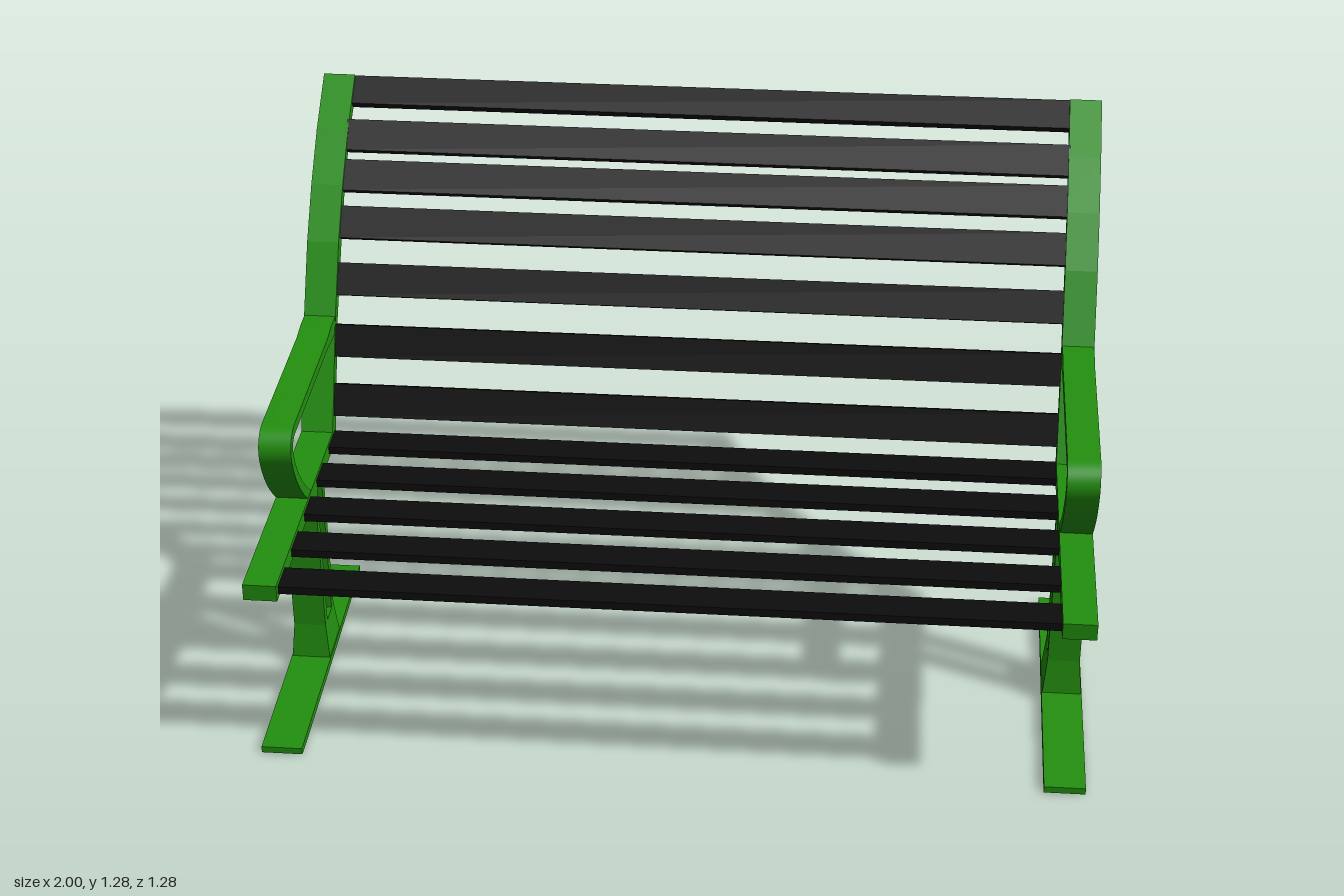
import * as THREE from 'three';
import { toCreasedNormals } from 'three/addons/utils/BufferGeometryUtils.js';

const green = new THREE.MeshStandardMaterial({ color: 0x23900f });
const black = new THREE.MeshStandardMaterial({ color: 0x0d0d0d });
const SIDE_X = 0.95;

const toShape = (pts) => new THREE.Shape(pts.map(([z, y]) => new THREE.Vector2(z, y)));

// Extrude a (z, y) side profile along x, centred on x = 0
function extrudeSide(shape, width) {
  const geo = new THREE.ExtrudeGeometry(shape, { depth: width, bevelEnabled: false });
  return geo.translate(0, 0, -width / 2).rotateY(-Math.PI / 2);
}

// Closed outline of a bar that follows a line of points, with a half thickness at each
function barOutline(points, half) {
  const left = [], right = [];
  points.forEach((p, i) => {
    const a = points[Math.max(i - 1, 0)], b = points[Math.min(i + 1, points.length - 1)];
    const d = b.clone().sub(a).normalize(), h = half(p);
    left.push([p.x - d.y * h, p.y + d.x * h]);
    right.unshift([p.x + d.y * h, p.y - d.x * h]);
  });
  return toShape([...left, ...right]);
}

// Seat rail and curved back in one piece
function frameGeometry() {
  return extrudeSide(toShape([
    [0.64, 0.505], [0.64, 0.547], [-0.067, 0.543],
    [-0.187, 0.80], [-0.287, 0.97], [-0.38, 1.084], [-0.486, 1.187], [-0.617, 1.283],
    [-0.64, 1.253], [-0.503, 1.167], [-0.40, 1.06], [-0.315, 0.943], [-0.21, 0.78],
    [-0.095, 0.503],
  ]), 0.08);
}

// Looped armrest, thicker where it meets the back
function armGeometry() {
  const path = new THREE.Path();
  path.moveTo(-0.205, 0.789);
  path.lineTo(-0.14, 0.789);
  path.lineTo(-0.09, 0.789);
  path.lineTo(0.33, 0.789);
  path.bezierCurveTo(0.365, 0.789, 0.385, 0.76, 0.37, 0.725);
  path.bezierCurveTo(0.352, 0.665, 0.29, 0.59, 0.22, 0.535);
  const shape = barOutline(path.getPoints(10), (p) => (p.x < -0.12 ? 0.02 : 0.0125));
  return toCreasedNormals(extrudeSide(shape, 0.078), 0.5);
}

// Twin-post leg with a solid base that widens towards the foot
function legGeometry() {
  const shape = toShape([
    [0.177, 0.51], [0.07, 0.51], [0.064, 0.115], [0.05, 0.015], [0.182, 0.015], [0.17, 0.115],
  ]);
  shape.holes.push(new THREE.Path([[0.15, 0.505], [0.096, 0.505], [0.088, 0.115], [0.143, 0.115]]
    .map(([z, y]) => new THREE.Vector2(z, y))));
  const geo = extrudeSide(shape, 0.08);
  const pos = geo.attributes.position;
  for (let i = 0; i < pos.count; i++) {
    if (pos.getY(i) < 0.05) pos.setX(i, pos.getX(i) * 1.22);
  }
  geo.computeVertexNormals();
  return geo;
}

// Thin, slightly tilted foot plate
function footGeometry() {
  return extrudeSide(toShape([[0.56, 0.002], [0.56, 0.019], [-0.235, 0.03], [-0.235, 0.014], [0.1, 0.006], [0.5, 0]]), 0.1);
}

export function createModel() {
  const bench = new THREE.Group();
  bench.name = 'bench';

  // Matching left and right ends
  const parts = { frame: frameGeometry(), armrest: armGeometry(), leg: legGeometry(), foot: footGeometry() };
  for (const [side, sign] of [['left', 1], ['right', -1]]) {
    const end = new THREE.Group();
    end.name = `${side}End`;
    end.position.x = sign * SIDE_X;
    for (const [name, geo] of Object.entries(parts)) {
      const mesh = new THREE.Mesh(geo, green);
      mesh.name = name;
      end.add(mesh);
    }
    bench.add(end);
  }

  // Slats span between the two ends
  const slatGeo = new THREE.BoxGeometry(1.83, 0.02, 0.082);
  const addSlat = (name, z, y, angle) => {
    const slat = new THREE.Mesh(slatGeo, black);
    slat.name = name;
    slat.position.set(0, y, z);
    slat.rotation.x = angle;
    bench.add(slat);
  };
  for (let i = 0; i < 5; i++) addSlat('seatSlat', 0.582 - i * 0.158, 0.525, 0);

  // Back slats lie along the centre line of the curved back
  const line = [[-0.081, 0.522], [-0.198, 0.79], [-0.301, 0.957], [-0.39, 1.072], [-0.495, 1.177], [-0.628, 1.268]];
  for (const y of [0.61, 0.748, 0.883, 1.002, 1.095, 1.171, 1.246]) {
    const i = line.findIndex((p) => p[1] > y);
    const [z0, y0] = line[i - 1], [z1, y1] = line[i];
    const z = z0 + ((z1 - z0) * (y - y0)) / (y1 - y0);
    addSlat('backSlat', z, y, Math.atan2(y1 - y0, z0 - z1));
  }
  return bench;
}
